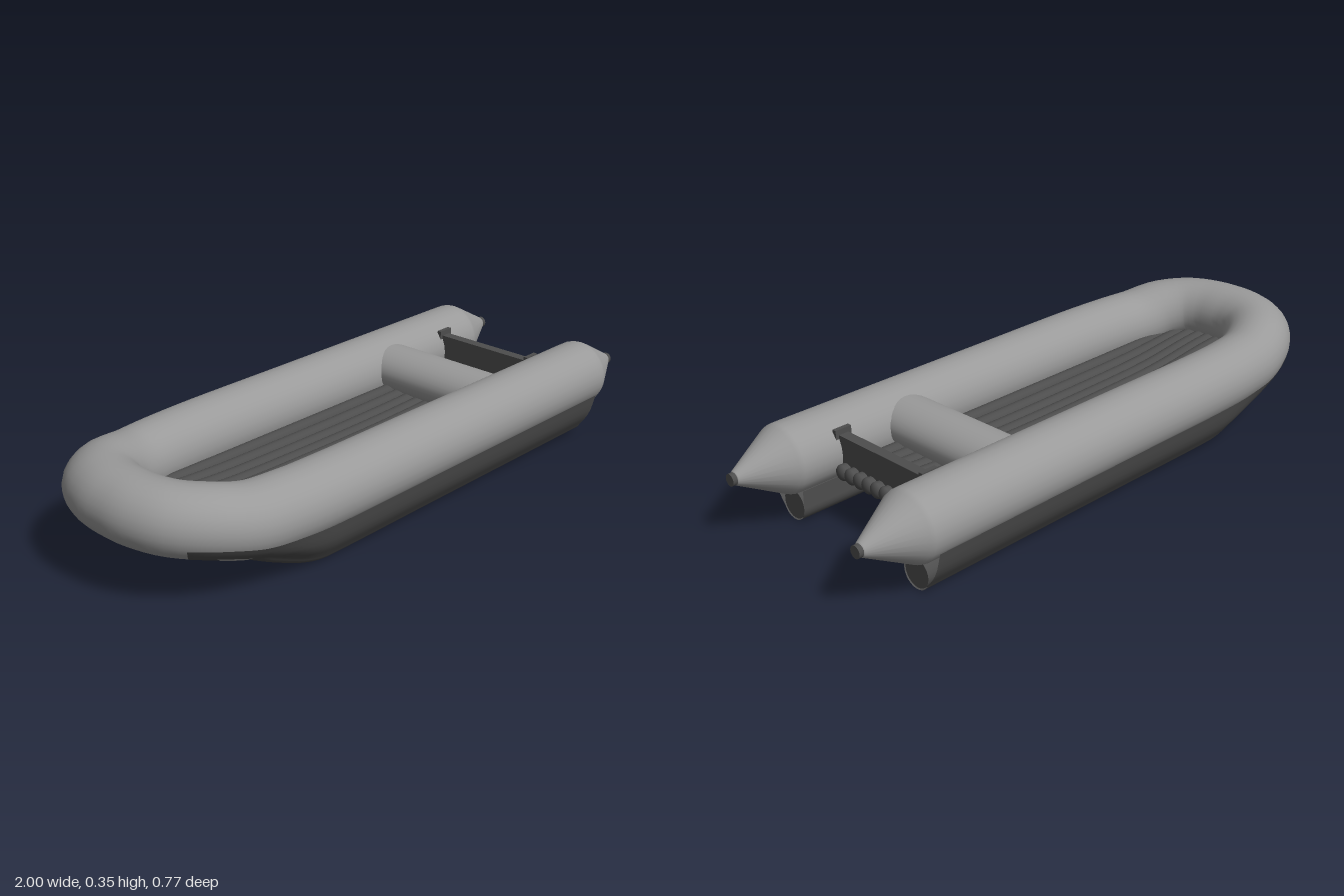
import * as THREE from 'three';

const R = 0.108, Z0 = 0.275, Y0 = 0.204;
const { smoothstep, lerp, degToRad } = THREE.MathUtils;

// The tube section becomes wider and flatter towards the bow: [width, height] factors
function bowSquash(x) {
  const f = smoothstep(-x, 0.6, 0.86);
  return [1 + 0.06 * f, 1 - 0.08 * f];
}

export function createModel() {
  const boat = new THREE.Group();
  boat.name = 'inflatableBoat';
  const light = new THREE.MeshStandardMaterial({ color: 0x9a9a9a });
  const dark = new THREE.MeshStandardMaterial({ color: 0x4d4d4d });
  const darkSheet = new THREE.MeshStandardMaterial({ color: 0x4d4d4d, side: THREE.DoubleSide });

  const add = (name, geo, mat, x = 0, y = 0, z = 0) => {
    const m = new THREE.Mesh(geo, mat);
    m.name = name;
    m.position.set(x, y, z);
    boat.add(m);
    return m;
  };

  // Main buoyancy tube: U-shaped path with a raised, squarish bow at -x
  const half = [
    [0.8, Y0, Z0], [0.4, Y0, Z0], [0, Y0, Z0], [-0.4, Y0, Z0], [-0.55, Y0, 0.268],
    [-0.68, 0.208, 0.25], [-0.78, 0.23, 0.213], [-0.85, 0.241, 0.148], [-0.88, 0.245, 0.07],
  ];
  const points = [
    ...half, [-0.885, 0.246, 0], ...half.slice().reverse().map(([x, y, z]) => [x, y, -z]),
  ].map((p) => new THREE.Vector3(...p));
  const path = new THREE.CatmullRomCurve3(points);
  add('mainTube', mainTube(path), light);

  // Tapered stern cones with valve caps
  const coneProfile = [[R, 0], [0.1075, 0.02], [0.103, 0.035], [0.022, 0.183], [0.018, 0.186]]
    .map(([r, h]) => new THREE.Vector2(r, h));
  for (const s of [1, -1]) {
    const side = s > 0 ? 'Right' : 'Left';
    const cone = add('sternCone' + side, new THREE.LatheGeometry(coneProfile, 28), light, 0.8, Y0, s * Z0);
    cone.rotation.z = -Math.PI / 2;
    const cap = add('sternCap' + side, new THREE.CylinderGeometry(0.019, 0.019, 0.018, 16), dark, 0.991, Y0, s * Z0);
    cap.rotation.z = -Math.PI / 2;

    // Lower running tube inside the hull skin
    const runner = add('runnerTube' + side, new THREE.CylinderGeometry(0.046, 0.046, 1.2, 24), dark, 0.198, 0.05, s * (Z0 - 0.005));
    runner.rotation.z = -Math.PI / 2;

    add('hullSkin' + side, hullSkin(path, s), darkSheet);
  }

  // Air-floor of nine lengthwise ribs, sagging amidships
  for (let i = -4; i <= 4; i++) {
    const z = i * 0.038;
    const sag = 0.028 * (1 - (z / 0.16) ** 2);
    const y = 0.16;
    const rib = new THREE.CatmullRomCurve3([
      [-0.84, 0.012], [-0.72, 0.004], [-0.5, -sag * 0.7], [-0.2, -sag], [0.2, -sag], [0.5, -sag * 0.6], [0.705, 0],
    ].map(([x, h]) => new THREE.Vector3(x, y + h, z)));
    add('floorRib', new THREE.TubeGeometry(rib, 40, 0.025, 14), dark);
    const end = add('floorRibEnd', new THREE.SphereGeometry(0.025, 14, 10), dark, 0.705, y, z);
    end.scale.x = 0.6;
  }

  // Inflated cross seat, slightly flattened and resting above the floor
  const seat = add('seat', new THREE.CylinderGeometry(0.094, 0.094, 0.44, 32), light, 0.415, 0.215, 0);
  seat.rotation.x = Math.PI / 2;
  seat.scale.z = 0.78;

  // Transom board and its end brackets
  add('transom', new THREE.BoxGeometry(0.034, 0.105, 0.38), dark, 0.672, 0.2125, 0);
  for (const s of [1, -1]) {
    add('transomBracket', new THREE.BoxGeometry(0.056, 0.09, 0.014), dark, 0.672, 0.237, s * 0.186);
  }
  return boat;
}

// Tube along the path, with each ring reshaped by the bow rule
function mainTube(path) {
  const rings = 140, sides = 28;
  const geo = new THREE.TubeGeometry(path, rings, R, sides);
  const pos = geo.attributes.position;
  for (let i = 0; i <= rings; i++) {
    const c = path.getPointAt(i / rings);
    const [w, h] = bowSquash(c.x);
    for (let j = 0; j <= sides; j++) {
      const k = i * (sides + 1) + j;
      pos.setXYZ(k, c.x + (pos.getX(k) - c.x) * w, c.y + (pos.getY(k) - c.y) * h, c.z + (pos.getZ(k) - c.z) * w);
    }
  }
  return geo;
}

// Skin wrapping from the main tube down around the runner, rising to hug the tube at the bow
function hullSkin(path, side) {
  const stations = 90, sideSteps = 5, arcSteps = 14;
  const pos = [], index = [];
  let cols = 0;
  for (let i = 0; i <= stations; i++) {
    const u = (i / stations) * 0.447;
    const c = path.getPointAt(u), t = path.getTangentAt(u);
    const n = new THREE.Vector3(t.z, 0, -t.x).normalize();
    const rise = smoothstep(-c.x, 0.42, 0.78);
    const drop = lerp(0.096, -0.004, rise);
    const arc = [];
    for (let j = 0; j <= arcSteps; j++) {
      const a = degToRad(-23 - (158 * j) / arcSteps);
      arc.push([-0.005 + 0.05 * Math.cos(a), -R - drop + 0.05 + 0.05 * Math.sin(a)]);
    }
    // Slightly bulged outer side, then the arc, then the inner attachment
    const top = degToRad(lerp(-30, -22, rise));
    const section = [];
    for (let j = 0; j < sideSteps; j++) {
      const f = j / sideSteps, bulge = 0.008 * Math.sin(Math.PI * f);
      section.push([
        lerp(R * Math.cos(top), arc[0][0], f) + bulge,
        lerp(R * Math.sin(top), arc[0][1], f) - bulge,
      ]);
    }
    section.push(...arc, [R * Math.cos(degToRad(-120)), R * Math.sin(degToRad(-120))]);
    cols = section.length;
    const [w, h] = bowSquash(c.x);
    for (const [o, v] of section) {
      // Keep the skin just outside the tube
      const push = Math.max(1, (R * 1.012) / Math.hypot(o, v));
      pos.push(c.x + n.x * o * push * w, c.y + v * push * h, side * (c.z + n.z * o * push * w));
    }
  }
  for (let i = 0; i < stations; i++) {
    for (let j = 0; j < cols - 1; j++) {
      const a = i * cols + j, b = a + cols;
      if (side > 0) index.push(a, a + 1, b, b, a + 1, b + 1);
      else index.push(a, b, a + 1, b, b + 1, a + 1);
    }
  }
  const geo = new THREE.BufferGeometry();
  geo.setAttribute('position', new THREE.Float32BufferAttribute(pos, 3));
  geo.setIndex(index);
  geo.computeVertexNormals();
  return geo;
}
